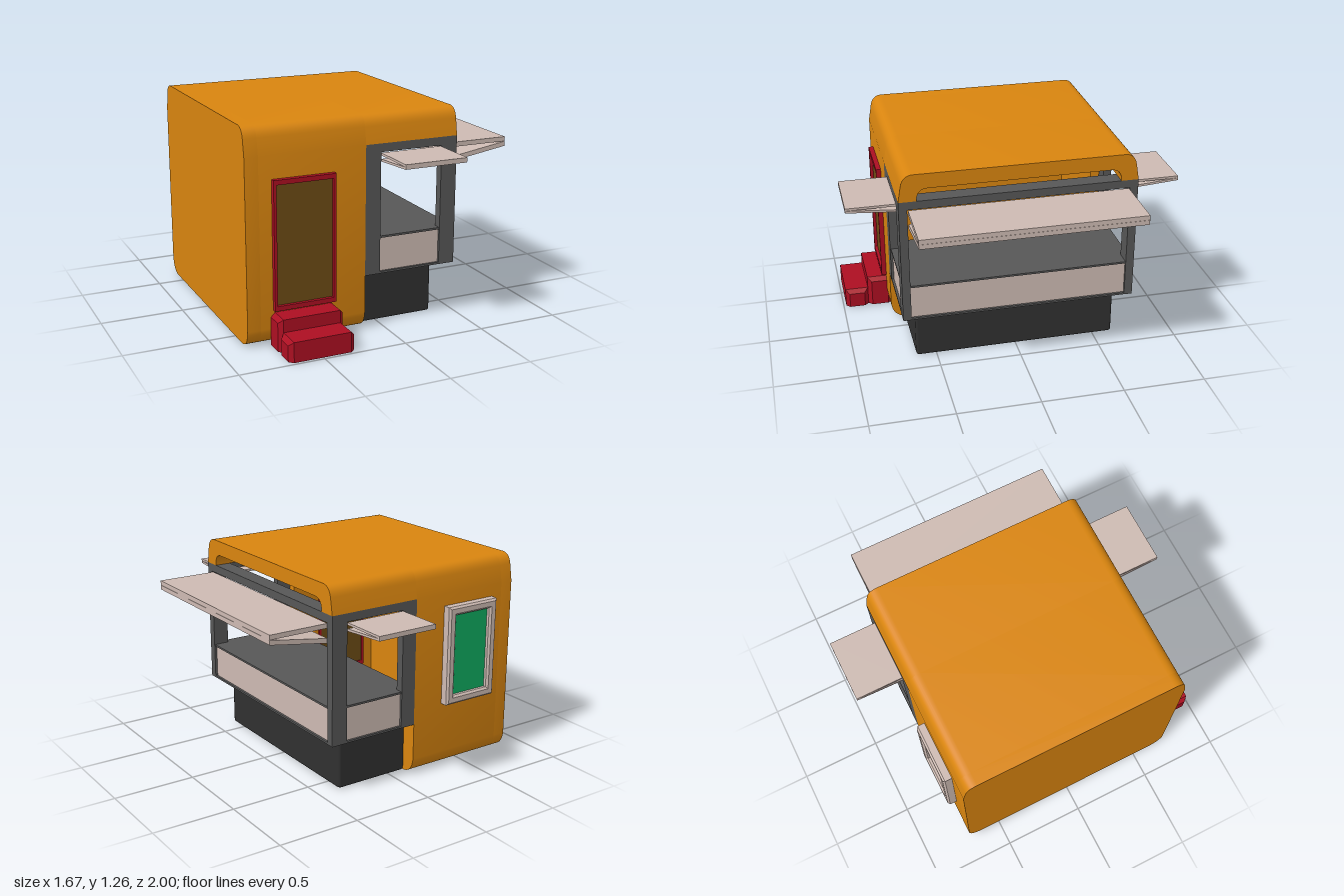
import * as THREE from 'three';
import { toCreasedNormals } from 'three/addons/utils/BufferGeometryUtils.js';
import { RoundedBoxGeometry } from 'three/addons/geometries/RoundedBoxGeometry.js';

const mat = (color) => new THREE.MeshStandardMaterial({ color });

export function createModel() {
  const root = new THREE.Group();
  const orange = mat(0xd9850f), grey = mat(0x575757), dark = mat(0x303030);
  const pink = mat(0xcdbab2), red = mat(0xad0f22), brown = mat(0x6e4c15), green = mat(0x10ac60);

  const add = (name, geo, material, parent = root) => {
    const mesh = new THREE.Mesh(geo, material);
    mesh.name = name;
    parent.add(mesh);
    return mesh;
  };
  // Box given by its limits on each axis
  const box = (name, [x0, x1], [y0, y1], [z0, z1], material, parent) => {
    const mesh = add(name, new THREE.BoxGeometry(x1 - x0, y1 - y0, z1 - z0), material, parent);
    mesh.position.set((x0 + x1) / 2, (y0 + y1) / 2, (z0 + z1) / 2);
    return mesh;
  };
  // Extrudes a (z, y) section along x from x0 to x1
  const alongX = (shape, x0, x1) => {
    const geo = new THREE.ExtrudeGeometry(shape, { depth: x1 - x0, bevelEnabled: false, curveSegments: 8 });
    geo.rotateY(Math.PI / 2).translate(x0, 0, 0);
    return toCreasedNormals(geo, 0.6);
  };
  const rect = (P, x0, x1, y0, y1) => {
    const p = new P();
    p.moveTo(x0, y0).lineTo(x1, y0).lineTo(x1, y1).lineTo(x0, y1).closePath();
    return p;
  };
  // Rounded crown of the cabin from the right eave to the left eave
  const crown = (p) => {
    p.lineTo(0.71, 1.1);
    p.lineTo(0.693, 1.2);
    p.quadraticCurveTo(0.68, 1.265, 0.62, 1.265);
    p.lineTo(-0.62, 1.265);
    p.quadraticCurveTo(-0.68, 1.265, -0.693, 1.2);
    p.lineTo(-0.71, 1.1);
  };

  // Cabin: hollow shell, open towards the counter, closed at the other end
  const outline = () => {
    const s = new THREE.Shape();
    s.moveTo(-0.62, 0);
    s.lineTo(0.62, 0);
    s.quadraticCurveTo(0.7, 0.01, 0.71, 0.1);
    crown(s);
    s.lineTo(-0.71, 0.1);
    s.quadraticCurveTo(-0.7, 0.01, -0.62, 0);
    return s;
  };
  const shell = outline();
  const hollow = new THREE.Path();
  hollow.moveTo(-0.605, 0.1);
  hollow.lineTo(0.605, 0.1);
  hollow.lineTo(0.605, 1.11);
  hollow.quadraticCurveTo(0.605, 1.175, 0.54, 1.175);
  hollow.lineTo(-0.54, 1.175);
  hollow.quadraticCurveTo(-0.605, 1.175, -0.605, 1.11);
  hollow.closePath();
  shell.holes.push(hollow);
  add('cabinShell', alongX(shell, -0.76, -0.115), orange);
  add('cabinEndWall', alongX(outline(), -0.84, -0.76), orange);

  // Roof over the counter, with an arched underside
  const roof = new THREE.Shape();
  roof.moveTo(0.605, 1.1);
  crown(roof);
  roof.lineTo(-0.605, 1.1);
  roof.quadraticCurveTo(-0.605, 1.175, -0.54, 1.175);
  roof.lineTo(0.54, 1.175);
  roof.quadraticCurveTo(0.605, 1.175, 0.605, 1.1);
  add('roof', alongX(roof, -0.115, 0.47), orange);

  // Grey frame around the serving windows
  const frame = new THREE.Group();
  frame.name = 'servingFrame';
  root.add(frame);
  for (const s of [-1, 1]) {
    const z = s > 0 ? [0.66, 0.71] : [-0.71, -0.66];
    box('innerPost', [-0.115, -0.02], [0.325, 1.1], z, grey, frame);
    box('outerPost', [0.37, 0.47], [0.325, 1.1], z, grey, frame);
    box('sideBeam', [-0.02, 0.37], [1.05, 1.1], z, grey, frame);
  }
  box('endBeam', [0.37, 0.47], [1.05, 1.1], [-0.66, 0.66], grey, frame);

  // Counter on its dark base
  box('counterFloor', [-0.115, 0.469], [0.325, 0.337], [-0.709, 0.709], grey);
  box('counterPanel', [-0.11, 0.455], [0.337, 0.54], [-0.695, 0.695], pink);
  box('counterTop', [-0.115, 0.465], [0.54, 0.552], [-0.705, 0.705], grey);
  const base = add('base', new RoundedBoxGeometry(0.48, 0.335, 1.25, 1, 0.018), dark);
  base.position.set(0.125, 0.1675, 0);

  // Awning: a flat top plate and a slanted lower plate that meet at the outer edge
  const plate = (x0, y0, x1, y1, t, width) => {
    const s = new THREE.Shape();
    s.moveTo(x0, y0).lineTo(x1, y1).lineTo(x1, y1 + t).lineTo(x0, y0 + t).closePath();
    return new THREE.ExtrudeGeometry(s, { depth: width, bevelEnabled: false }).translate(0, 0, -width / 2);
  };
  const awning = (name, x0, x1, low, outer, t, width) => {
    const g = new THREE.Group();
    g.name = name;
    add('topPlate', plate(x0, 1.045 - t, x1, 1.045 - t, t, width), pink, g);
    add('lowerPlate', plate(x0, low, x1, outer, t, width), pink, g);
    root.add(g);
    return g;
  };
  awning('endAwning', 0.465, 0.835, 0.93, 0.988, 0.028, 1.31);
  for (const s of [-1, 1]) {
    const g = awning('sideAwning', 0.705, 1, 0.995, 1.017, 0.014, 0.385);
    g.rotation.y = -s * Math.PI / 2;
    g.position.x = 0.173;
  }

  // Rectangular frame with a hole, bevelled if asked, starting at z = 0
  const ring = (x0, x1, y0, y1, bx, by, depth, bevel = 0) => {
    const s = rect(THREE.Shape, x0 + bevel, x1 - bevel, y0 + bevel, y1 - bevel);
    s.holes.push(rect(THREE.Path, x0 + bx, x1 - bx, y0 + by, y1 - by));
    return new THREE.ExtrudeGeometry(s, {
      depth: depth - bevel, bevelEnabled: bevel > 0, bevelSize: bevel, bevelThickness: bevel, bevelSegments: 1,
    });
  };

  // Door through the front wall
  add('doorFrame', ring(-0.685, -0.31, 0.21, 0.967, 0.017, 0.028, 0.146), red).position.z = 0.594;
  box('doorPanel', [-0.67, -0.325], [0.235, 0.942], [0.6, 0.72], brown);

  // Window on the back wall
  const windowFrame = add('windowFrame', ring(0.32, 0.685, 0.415, 1.025, 0.042, 0.042, 0.055, 0.012), pink);
  windowFrame.rotation.y = Math.PI;
  windowFrame.position.z = -0.71;
  box('windowGlass', [-0.655, -0.35], [0.445, 0.995], [-0.735, -0.7], green);

  // Steps: boxes with chamfered ends, square at the ground
  const step = (height, z0, z1) => {
    const depth = z1 - z0, c = 0.025, w = 0.395;
    const geo = new THREE.BoxGeometry(w, height, depth, 3, 1, 1);
    const p = geo.attributes.position;
    for (let i = 0; i < p.count; i++) {
      const x = p.getX(i);
      if (Math.abs(x) > w * 0.4) {
        p.setZ(i, p.getZ(i) * (1 - 2 * c / depth));
        if (p.getY(i) > 0) p.setY(i, height / 2 - c);
      } else p.setX(i, Math.sign(x) * (w / 2 - c));
    }
    const flat = geo.toNonIndexed();
    flat.computeVertexNormals();
    add('step', flat, red).position.set(-0.5025, height / 2, (z0 + z1) / 2);
  };
  step(0.195, 0.68, 0.835);
  step(0.12, 0.835, 0.983);

  return root;
}
